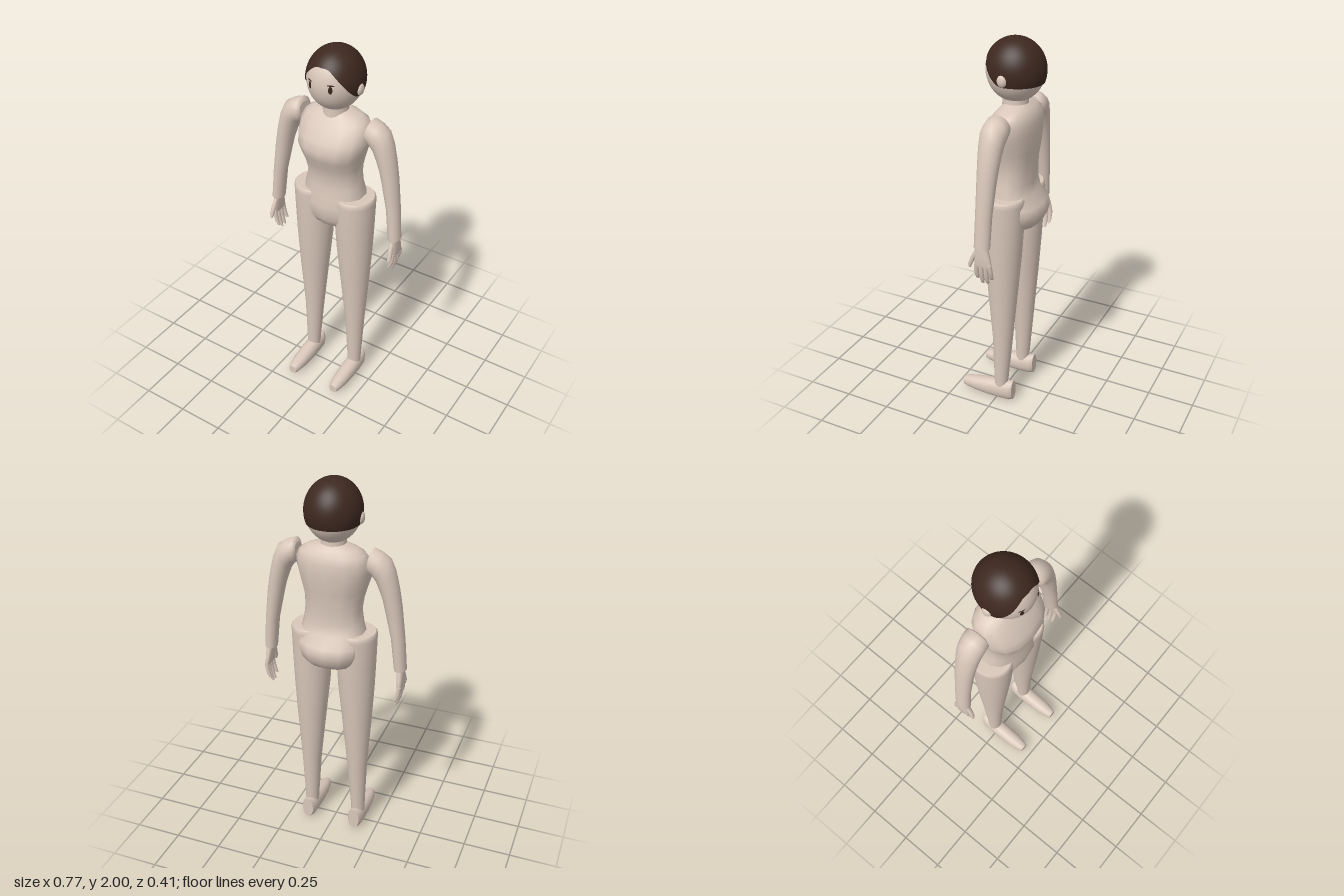
import * as THREE from 'three';

const skin = new THREE.MeshStandardMaterial({ color: 0xd9c7ba });
skin.name = 'skin';
const hairBrown = new THREE.MeshStandardMaterial({ color: 0x3d281f, side: THREE.DoubleSide });
hairBrown.name = 'hairBrown';
const eyeBrown = new THREE.MeshStandardMaterial({ color: 0x3a241b, side: THREE.DoubleSide });
eyeBrown.name = 'eyeBrown';

// Ring of a limb: two opposite points in the xy plane, plus centre and radius in z
const ring = (x0, y0, x1, y1, z, rz) => ({
  c: [(x0 + x1) / 2, (y0 + y1) / 2, z], u: [(x0 - x1) / 2, (y0 - y1) / 2, 0], v: [0, 0, rz],
});
// Level ring: centre and radii
const level = (x, y, z, rx, rz) => ring(x + rx, y, x - rx, y, z, rz);

// Closed smooth skin through rings, with flat ends; power > 2 squares the section
function loft(rings, n = 20, power = 2) {
  const pos = [], idx = [];
  const bend = (t) => Math.sign(t) * Math.abs(t) ** (2 / power);
  const addRing = (r) => {
    for (let j = 0; j < n; j++) {
      const a = ((j + 0.5) / n) * Math.PI * 2, p = bend(Math.cos(a)), q = bend(Math.sin(a));
      for (let k = 0; k < 3; k++) pos.push(r.c[k] + r.u[k] * p + r.v[k] * q);
    }
  };
  rings.forEach(addRing);
  for (let i = 0; i < rings.length - 1; i++) {
    for (let j = 0; j < n; j++) {
      const a = i * n + j, b = i * n + ((j + 1) % n);
      idx.push(a, b, a + n, b, b + n, a + n);
    }
  }
  [rings[0], rings[rings.length - 1]].forEach((r, end) => {
    const base = pos.length / 3;
    addRing(r);
    pos.push(...r.c);
    for (let j = 0; j < n; j++) {
      const a = base + j, b = base + ((j + 1) % n);
      if (end) idx.push(a, b, base + n); else idx.push(b, a, base + n);
    }
  });
  // Turn the faces outward whichever way the rings run
  const P = (i) => new THREE.Vector3().fromArray(pos, i * 3);
  let volume = 0;
  for (let i = 0; i < idx.length; i += 3) volume += P(idx[i]).dot(P(idx[i + 1]).cross(P(idx[i + 2])));
  if (volume < 0) idx.reverse();
  const g = new THREE.BufferGeometry();
  g.setAttribute('position', new THREE.Float32BufferAttribute(pos, 3));
  g.setIndex(idx);
  g.computeVertexNormals();
  return g;
}

const HEAD = { y: 1.842, z: -0.037, rx: 0.136, ry: 0.156, rz: 0.146 };

// Hair cap: a dome whose lower edge rises over the forehead
function hairGeometry() {
  const cols = 64, rows = 20, pos = [], idx = [];
  const rx = 0.141, ry = 0.158, rz = 0.152;
  for (let i = 0; i <= rows; i++) {
    for (let j = 0; j < cols; j++) {
      const a = (j / cols) * Math.PI * 2;
      const fromFront = Math.min(a, Math.PI * 2 - a) * 180 / Math.PI;
      const edge = 1.935 - 0.15 * THREE.MathUtils.smoothstep(fromFront, 10, 85);
      const t = (i / rows) * Math.acos((edge - HEAD.y) / ry);
      pos.push(rx * Math.sin(t) * Math.sin(a), HEAD.y + ry * Math.cos(t), HEAD.z + rz * Math.sin(t) * Math.cos(a));
      if (i < rows) {
        const p = i * cols + j, q = i * cols + ((j + 1) % cols);
        idx.push(p, p + cols, q, q, p + cols, q + cols);
      }
    }
  }
  const g = new THREE.BufferGeometry();
  g.setAttribute('position', new THREE.Float32BufferAttribute(pos, 3));
  g.setIndex(idx);
  g.computeVertexNormals();
  return g;
}

// Thin oval laid on the curve of the face
function facePatch(x, y, rx, ry) {
  const g = new THREE.CircleGeometry(1, 20).scale(rx, ry, 1).translate(x, y, 0);
  const p = g.attributes.position;
  for (let i = 0; i < p.count; i++) {
    const fx = p.getX(i) / HEAD.rx, fy = (p.getY(i) - HEAD.y) / HEAD.ry;
    p.setZ(i, HEAD.z + HEAD.rz * Math.sqrt(1 - fx * fx - fy * fy) + 0.003);
  }
  g.computeVertexNormals();
  return g;
}

export function createModel() {
  const model = new THREE.Group();
  model.name = 'figure';
  const add = (name, geometry, material = skin) => {
    const mesh = new THREE.Mesh(geometry, material);
    mesh.name = name;
    model.add(mesh);
    return mesh;
  };

  // Torso: height, half width, front z, back z
  const torso = [
    [1.035, 0.1, 0.035, -0.13], [1.05, 0.13, 0.06, -0.165], [1.085, 0.155, 0.076, -0.192],
    [1.13, 0.17, 0.086, -0.205], [1.17, 0.175, 0.085, -0.194], [1.225, 0.166, 0.077, -0.15],
    [1.28, 0.152, 0.07, -0.138], [1.34, 0.144, 0.072, -0.14], [1.4, 0.15, 0.09, -0.142],
    [1.45, 0.163, 0.113, -0.15], [1.5, 0.178, 0.127, -0.155], [1.55, 0.187, 0.108, -0.157],
    [1.6, 0.186, 0.075, -0.155], [1.64, 0.168, 0.045, -0.143], [1.665, 0.13, 0.022, -0.122], [1.682, 0.07, 0.008, -0.1],
  ];
  add('torso', loft(torso.map(([y, w, f, b]) => level(0, y, (f + b) / 2, w, (f - b) / 2)), 14, 2.3));

  // Neck and head
  add('neck', loft([level(0, 1.65, -0.038, 0.068, 0.068), level(0, 1.69, -0.037, 0.063, 0.064), level(0, 1.74, -0.036, 0.063, 0.064)], 24));
  const head = add('head', new THREE.SphereGeometry(1, 40, 28));
  head.scale.set(HEAD.rx, HEAD.ry, HEAD.rz);
  head.position.set(0, HEAD.y, HEAD.z);
  add('hair', hairGeometry(), hairBrown);

  for (const [side, s] of [['left', 1], ['right', -1]]) {
    const ear = add(side + 'Ear', new THREE.SphereGeometry(1, 16, 12));
    ear.scale.set(0.016, 0.03, 0.025);
    ear.position.set(s * 0.136, 1.818, -0.03);
    add(side + 'Eye', facePatch(s * 0.055, 1.843, 0.009, 0.019), eyeBrown);
    add(side + 'EyeLid', facePatch(s * 0.056, 1.866, 0.016, 0.003), eyeBrown);

    // Arm: outer point, inner point, radius in z, from shoulder to wrist
    const arm = [
      [0.188, 1.652, 0.179, 1.585, -0.04, 0.042], [0.202, 1.677, 0.183, 1.557, -0.04, 0.064],
      [0.245, 1.661, 0.204, 1.542, -0.04, 0.066], [0.286, 1.634, 0.223, 1.515, -0.039, 0.064],
      [0.313, 1.575, 0.241, 1.468, -0.038, 0.059], [0.334, 1.49, 0.257, 1.42, -0.037, 0.054],
      [0.352, 1.39, 0.272, 1.355, -0.036, 0.049], [0.373, 1.21, 0.302, 1.22, -0.033, 0.043],
      [0.385, 1.05, 0.322, 1.045, -0.029, 0.042],
    ];
    add(side + 'Arm', loft(arm.map(([xo, yo, xi, yi, z, rz]) => ring(s * xo, yo, s * xi, yi, z, rz))));

    // Hand: palm, four curled fingers and a thumb
    add(side + 'Palm', loft([
      level(s * 0.355, 1.06, -0.028, 0.02, 0.03), level(s * 0.359, 1.0, -0.034, 0.017, 0.042),
      level(s * 0.362, 0.955, -0.039, 0.013, 0.047), level(s * 0.362, 0.945, -0.039, 0.008, 0.042),
    ], 16, 2.5));
    [[0, 0.868], [-0.027, 0.845], [-0.053, 0.847], [-0.077, 0.875]].forEach(([z, tip], i) => {
      const at = (f) => 0.965 + (tip - 0.965) * f;
      add(side + 'Finger' + (i + 1), loft([
        level(s * 0.363, at(0), z * 0.92 - 0.003, 0.011, 0.012), level(s * 0.361, at(0.4), z, 0.011, 0.012),
        level(s * 0.352, at(0.75), z, 0.01, 0.011), level(s * 0.344, at(0.94), z, 0.008, 0.009),
        level(s * 0.339, at(1), z, 0.004, 0.005),
      ], 10));
    });
    add(side + 'Thumb', loft([
      level(s * 0.355, 1.035, -0.006, 0.012, 0.014), level(s * 0.357, 0.995, 0.016, 0.013, 0.014),
      level(s * 0.361, 0.955, 0.031, 0.012, 0.012), level(s * 0.361, 0.933, 0.036, 0.006, 0.007),
    ], 10));

    // Leg: height, centre x, radius x, centre z, radius z
    const leg = [
      [0.07, 0.137, 0.036, -0.023, 0.036], [0.12, 0.137, 0.038, -0.023, 0.038], [0.4, 0.132, 0.053, -0.03, 0.055],
      [0.7, 0.127, 0.078, -0.03, 0.08], [0.9, 0.122, 0.094, -0.03, 0.095], [1.05, 0.12, 0.101, -0.03, 0.104],
      [1.195, 0.12, 0.105, -0.03, 0.11], [1.215, 0.12, 0.104, -0.03, 0.108], [1.224, 0.12, 0.097, -0.03, 0.101],
    ];
    add(side + 'Leg', loft(leg.map(([y, x, rx, z, rz]) => level(s * x, y, z, rx, rz)), 28));

    // Foot: z, bottom, top, half width, from heel to toe
    const foot = [
      [-0.095, 0.008, 0.125, 0.03], [-0.075, 0.002, 0.118, 0.04], [-0.02, 0, 0.111, 0.043], [0.05, 0, 0.101, 0.044],
      [0.13, 0.006, 0.086, 0.04], [0.185, 0.011, 0.073, 0.031], [0.205, 0.016, 0.065, 0.023],
    ];
    add(side + 'Foot', loft(foot.map(([z, lo, hi, w]) => (
      { c: [s * 0.137, (lo + hi) / 2, z], u: [w, 0, 0], v: [0, (hi - lo) / 2, 0] })), 20, 2.2));
  }
  return model;
}
